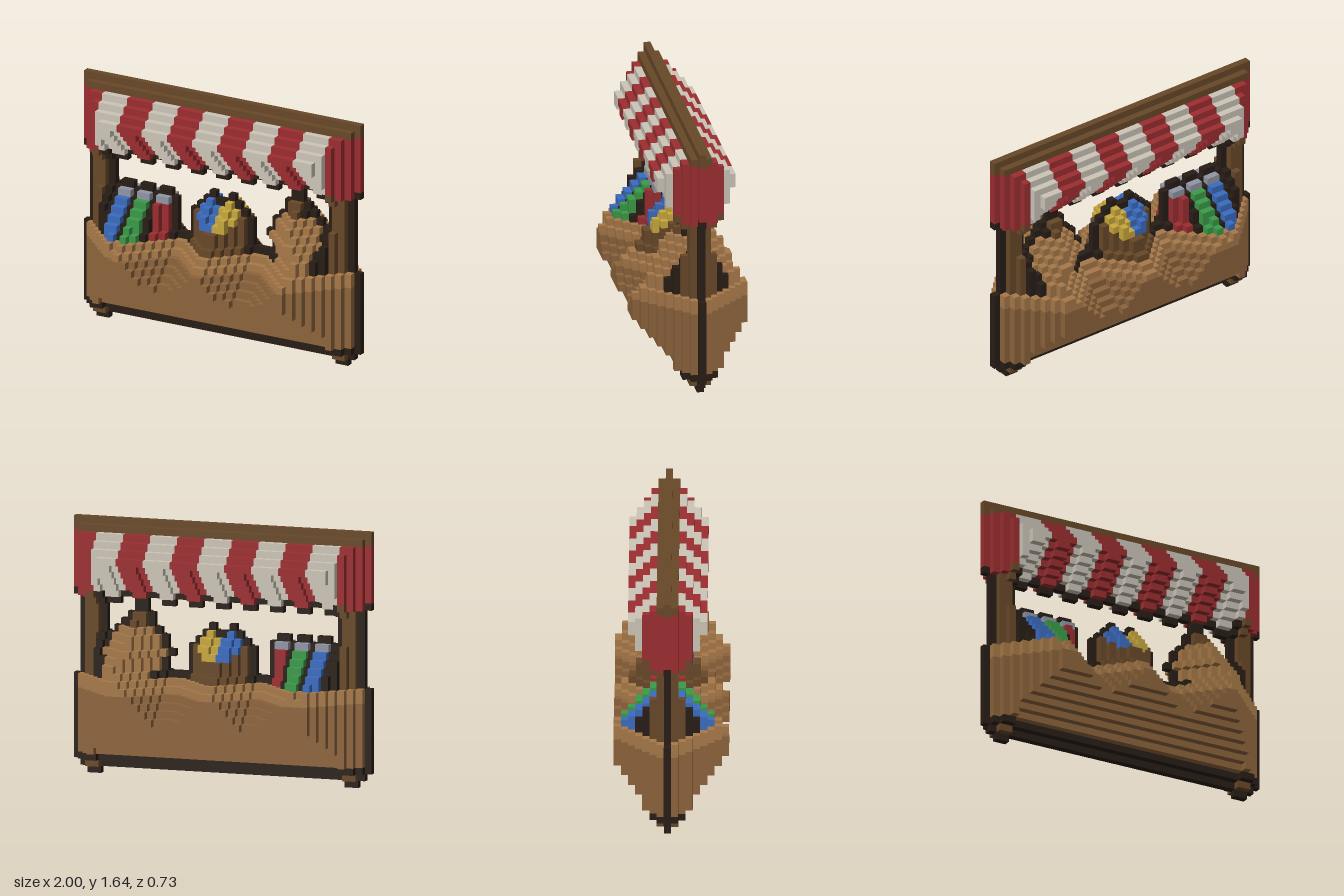
import * as THREE from 'three';
import { mergeGeometries } from 'three/addons/utils/BufferGeometryUtils.js';

const COLS = 44, ROWS = 36, U = 2 / COLS;
const DARK = 0x281d16, WOOD = 0x684828, PLANK = 0x8c633b, TAN = 0xa67848, RED = 0x9c2d30,
  CREAM = 0xccc5b8, BLUE = 0x3a6cc0, GREEN = 0x3a9a48, GREY = 0x9096a4, YELLOW = 0xc8a83c;

// A market stall painted as blocks on a grid, then thickened towards the middle of its outline.
export function createModel() {
  const parts = [];
  const grid = Array.from({ length: ROWS }, () => new Array(COLS).fill(-1));

  // Paints rectangles [col, row, width, height] as one named part
  function paint(name, color, rects) {
    const id = parts.push({ name, color }) - 1;
    for (const [x, y, w = 1, h = 1] of rects)
      for (let r = y; r < y + h; r++)
        for (let c = x; c < x + w; c++) grid[r][c] = id;
  }
  const mirrored = rects => rects.concat(rects.map(([x, y, w = 1, h = 1]) => [COLS - x - w, y, w, h]));

  // Counter and feet
  paint('counterFrame', DARK, [[0, 2, 44, 12], [1, 1, 42, 1], ...mirrored([[2, 0, 2, 1]])]);
  paint('counterPanel', PLANK, [[1, 3, 42, 9]]);
  paint('counterTop', TAN, [[1, 12, 42, 2]]);
  paint('feet', WOOD, mirrored([[2, 1, 2, 1]]));

  // Awning: ridge, stripes and scalloped hem
  paint('ridgeBeam', WOOD, [[0, 34, 44, 2]]);
  const red = [], cream = [], hem = [];
  for (let i = 0; i < 11; i++) {
    (i % 2 ? cream : red).push([4 * i, 26, 4, 8], [4 * i + 1, 25, 2, 1]);
    hem.push([4 * i, 25], [4 * i + 3, 25]);
    if (i > 0 && i < 10) hem.push([4 * i + 1, 24, 2, 1]);
  }
  paint('redStripes', RED, red);
  paint('creamStripes', CREAM, cream);
  paint('awningHem', DARK, hem);

  // Posts
  paint('postEdges', DARK, mirrored([[1, 14, 1, 11], [4, 14, 1, 12]]));
  paint('posts', WOOD, mirrored([[2, 14, 2, 11], [3, 25]]));

  // Row of three bottles
  paint('bottleOutlines', DARK, [[5, 14, 10, 6], ...[6, 9, 12].map(c => [c, 20, 2, 1])]);
  paint('bottleCaps', GREY, [6, 9, 12].map(c => [c, 19, 2, 1]));
  [BLUE, GREEN, RED].forEach((color, i) => paint('bottle' + (i + 1), color, [[6 + 3 * i, 14, 2, 5]]));

  // Pot with two round fruits
  paint('potOutline', DARK, [[15, 14, 17, 1], [17, 14, 10, 5], [18, 19, 8, 1], [19, 20, 6, 1], [20, 21], [23, 21]]);
  paint('pot', WOOD, [[18, 14, 8, 5]]);
  paint('blueFruit', BLUE, [[20, 17, 1, 4], [19, 18, 3, 2], [21, 17]]);
  paint('yellowFruit', YELLOW, [[22, 17, 2, 1], [22, 18, 3, 2], [23, 20]]);

  // Round sack with a tied neck
  paint('sackOutline', DARK, [[31, 14, 8, 1], [30, 15, 9, 5], [29, 17], [31, 20, 7, 1],
    [32, 21, 5, 1], [32, 22, 4, 1], [33, 23, 2, 1]]);
  paint('sack', TAN, [[32, 14, 6, 1], [31, 15, 7, 5], [30, 17, 9, 1], [32, 20, 5, 1]]);
  paint('sackNeck', WOOD, [[33, 21, 2, 2]]);

  // Steps from each block to the nearest empty place
  const depth = grid.map(row => row.map(id => (id < 0 ? 0 : 99)));
  const at = (r, c) => depth[r]?.[c] ?? 0;
  for (let pass = 0; pass < 12; pass++)
    for (let r = 0; r < ROWS; r++)
      for (let c = 0; c < COLS; c++)
        if (grid[r][c] >= 0)
          depth[r][c] = 1 + Math.min(at(r - 1, c), at(r + 1, c), at(r, c - 1), at(r, c + 1));

  // Each run of equal blocks becomes one box
  const boxes = parts.map(() => []);
  for (let r = 0; r < ROWS; r++)
    for (let c = 0, end; c < COLS; c = end) {
      const id = grid[r][c], d = depth[r][c];
      for (end = c + 1; end < COLS && grid[r][end] === id && depth[r][end] === d;) end++;
      if (id < 0) continue;
      const front = Math.min(d, 9) - 1, back = -Math.min(d, 8);
      const box = new THREE.BoxGeometry((end - c) * U, U, (front - back) * U);
      box.translate(((c + end) / 2 - COLS / 2) * U, (r + 0.5) * U, (front + back) / 2 * U);
      boxes[id].push(box);
    }

  const model = new THREE.Group();
  model.name = 'marketStall';
  parts.forEach(({ name, color }, i) => {
    if (!boxes[i].length) return;
    const mesh = new THREE.Mesh(mergeGeometries(boxes[i]), new THREE.MeshStandardMaterial({ color }));
    mesh.name = name;
    model.add(mesh);
  });
  return model;
}
